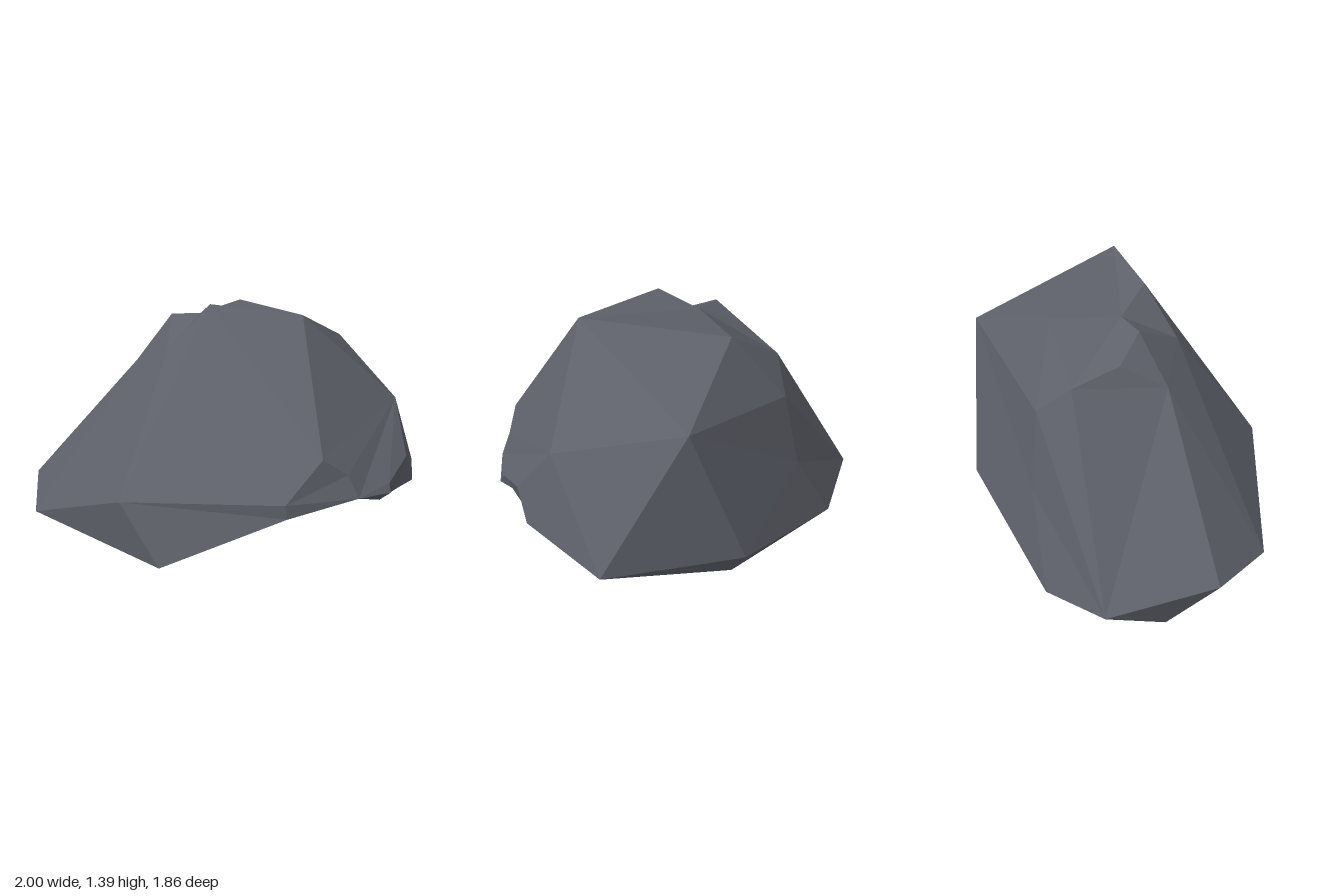
import * as THREE from 'three';

// Corners of the boulder
const P = {
  // crown
  peak: [0.19, 1.38, 0.49], brow: [-0.14, 1.39, 0.14], crest: [0.19, 1.31, -0.25],
  shoulder: [0.73, 1.10, -0.09], nape: [-0.04, 1.10, -0.48],
  // notch beside the crown
  n1: [-0.21, 1.17, -0.30], n2: [-0.24, 1.29, -0.15], n3: [-0.11, 1.30, -0.07],
  n4: [-0.35, 1.16, 0.08], n5: [-0.42, 1.05, -0.20],
  // right side and back
  cheek: [0.69, 0.93, 0.56], tip: [1.0, 0.45, 0.30], hip: [0.63, 0.30, -0.37],
  b1: [0.13, 0.95, -0.53], b2: [0.12, 0.53, -0.62],
  tail1: [-0.05, 0.08, -0.83], tail2: [-0.43, 0.16, -0.93], tail3: [-0.90, 0.32, -0.65],
  // left side and foot
  heel: [-1.0, 0.25, -0.26], toe: [-0.58, 0.23, 0.56], flank: [-0.71, 0.52, 0.37],
  foot: [-0.65, 0, -0.69], keel: [0.57, 0.15, -0.30],
  // front nose
  nose: [0.11, 0.80, 0.88], f1: [-0.08, 0.61, 0.89], f2: [0.24, 0.71, 0.89],
  lip1: [-0.07, 0.54, 0.89], lip2: [0.28, 0.60, 0.93],
  // chipped corner
  c1: [0.48, 0.62, 0.87], c2: [0.48, 0.58, 0.89], c3: [0.47, 0.51, 0.81],
  c4: [0.63, 0.50, 0.71], c5: [0.65, 0.69, 0.75], c6: [0.73, 0.53, 0.70],
};

// Facets of each region; every entry is a fan of corners seen from outside
const regions = {
  crown: ['peak shoulder crest n3 brow', 'crest nape n3'],
  crownNotch: ['nape n1 n3', 'n1 n5 n2', 'n1 n2 n3', 'n2 n5 n4', 'n3 n2 n4', 'n3 n4 brow'],
  rightSide: ['peak cheek shoulder', 'cheek tip shoulder', 'shoulder tip hip', 'tip keel hip'],
  backSide: ['hip keel tail1', 'hip tail1 b2', 'shoulder hip b2 b1', 'crest shoulder b1 nape',
    'nape b1 tail2', 'b1 b2 tail2', 'b2 tail1 tail2', 'nape tail2 n5 n1', 'tail2 tail3 n5'],
  leftSide: ['n5 tail3 heel n4', 'n4 heel flank', 'heel toe flank'],
  frontSide: ['brow n4 flank f1', 'brow f1 nose', 'peak brow nose', 'flank toe lip1 f1',
    'f1 lip1 lip2 f2', 'f1 f2 nose', 'peak nose cheek', 'nose f2 cheek', 'f2 lip2 cheek',
    'lip2 c1 cheek', 'c1 c5 cheek', 'c5 c6 cheek', 'cheek c6 tip'],
  chippedCorner: ['lip2 c2 c1', 'c1 c2 c3', 'c1 c3 c4 c5', 'c5 c4 c6'],
  underside: ['toe foot keel', 'toe keel lip1', 'lip1 keel lip2', 'lip2 keel c3', 'lip2 c3 c2',
    'c3 keel c4', 'c4 keel tip', 'c4 tip c6', 'heel foot toe', 'tail3 foot heel',
    'tail2 foot tail3', 'tail1 foot tail2', 'keel foot tail1'],
};

// Turns corner fans into separate flat triangles
function facetGeometry(fans) {
  const positions = [];
  for (const fan of fans) {
    const corners = fan.split(' ').map((key) => P[key]);
    for (let i = 1; i < corners.length - 1; i++) {
      positions.push(...corners[0], ...corners[i], ...corners[i + 1]);
    }
  }
  const geometry = new THREE.BufferGeometry();
  geometry.setAttribute('position', new THREE.Float32BufferAttribute(positions, 3));
  geometry.computeVertexNormals();
  return geometry;
}

export function createModel() {
  const stone = new THREE.MeshStandardMaterial({ color: 0x5e616a });
  stone.name = 'slate grey stone';

  const boulder = new THREE.Group();
  boulder.name = 'boulder';
  for (const [name, fans] of Object.entries(regions)) {
    const mesh = new THREE.Mesh(facetGeometry(fans), stone);
    mesh.name = name;
    boulder.add(mesh);
  }
  return boulder;
}
